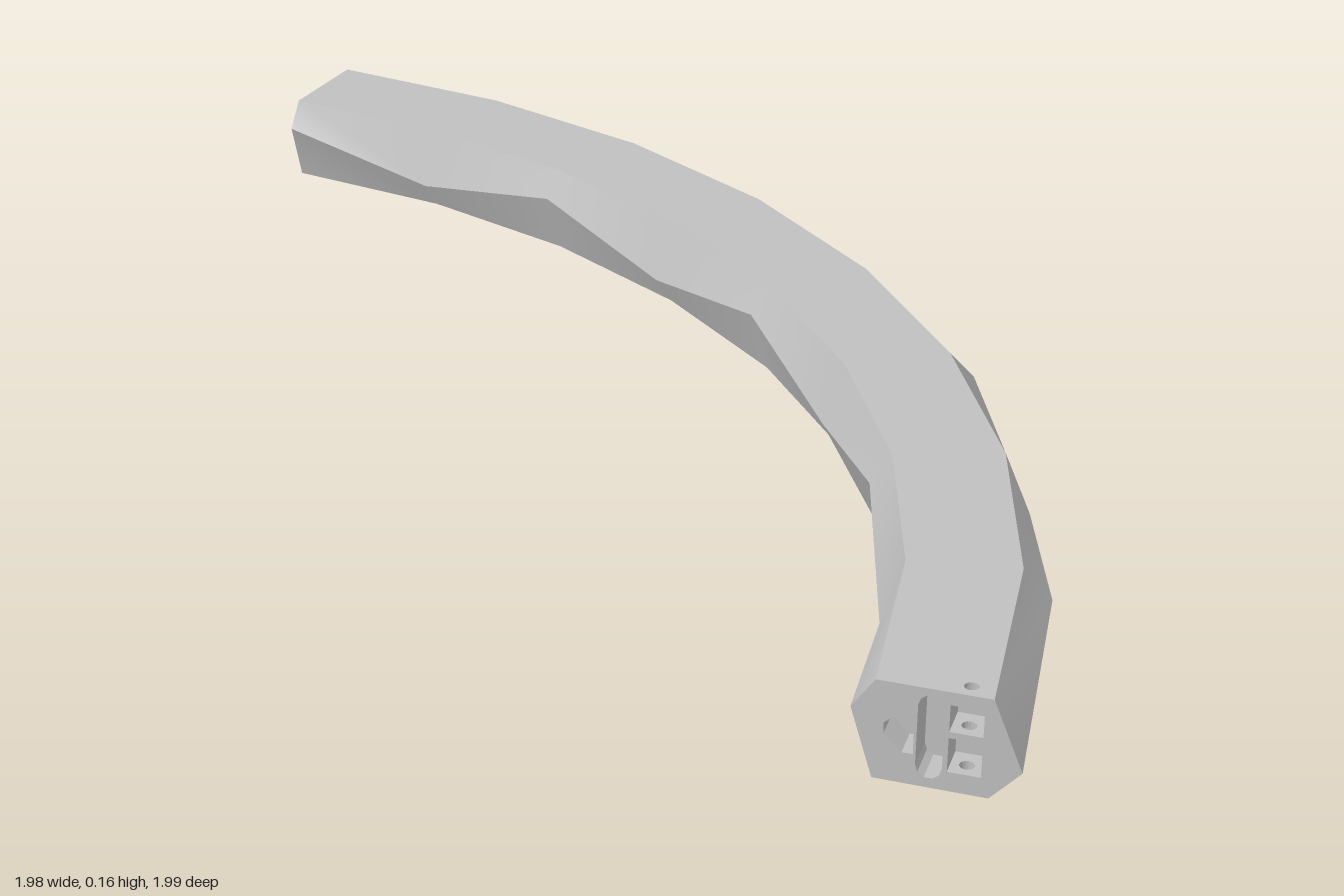
import * as THREE from 'three';

const grey = new THREE.MeshStandardMaterial({ color: 0xc0c0c0, side: THREE.DoubleSide });
grey.name = 'plain grey';

// Arc of eight straight segments around a vertical axis
const CX = -1.083, CZ = 1.065, H = 0.16, SEGS = 8, MID = 1.95;
const angle = k => THREE.MathUtils.degToRad(3.97 + 10.475 * k);
const at = (k, r, y) => [CX + r * Math.sin(angle(k)), y, CZ - r * Math.cos(angle(k))];
const v2 = pts => pts.map(p => new THREE.Vector2(p[0], p[1]));

// Hexagonal section [radius, height]; the side ridges zigzag up and down
function section(k) {
  const inner = 1.787 + 0.038 * Math.max(0, (k - 2.5) / 5.5);
  const even = k % 2 === 0;
  return [
    [inner + 0.034, 0], [2.025, 0], [2.07, even ? 0.05 : 0.11],
    [2.025, H], [inner + 0.034, H], [inner, even ? 0.11 : 0.05],
  ];
}

function mesh(name, geometry) {
  const m = new THREE.Mesh(geometry, grey);
  m.name = name;
  return m;
}

// One long side of the beam, smooth along its length
function strip(j, last) {
  const pos = [], index = [];
  for (let k = 0; k <= last; k++) {
    const s = section(k);
    pos.push(...at(k, ...s[j]), ...at(k, ...s[(j + 1) % 6]));
    if (k < last) {
      const a = 2 * k;
      index.push(a, a + 1, a + 3, a, a + 3, a + 2);
    }
  }
  const g = new THREE.BufferGeometry();
  g.setAttribute('position', new THREE.Float32BufferAttribute(pos, 3));
  g.setIndex(index);
  g.computeVertexNormals();
  return g;
}

function circle(x, y, r) {
  const p = new THREE.Path();
  p.absarc(x, y, r, 0, Math.PI * 2, true);
  return p;
}

// Recess behind an end face: walls plus a floor
function pocket(name, pts, depth, keep = () => true) {
  const g = new THREE.Group();
  g.name = name;
  const pos = [];
  pts.forEach((a, i) => {
    if (!keep(i)) return;
    const b = pts[(i + 1) % pts.length];
    const A = [a[0], a[1], 0], B = [b[0], b[1], 0];
    const C = [b[0], b[1], -depth], D = [a[0], a[1], -depth];
    pos.push(...A, ...B, ...C, ...A, ...C, ...D);
  });
  const walls = new THREE.BufferGeometry();
  walls.setAttribute('position', new THREE.Float32BufferAttribute(pos, 3));
  walls.computeVertexNormals();
  const floor = new THREE.ShapeGeometry(new THREE.Shape(v2(pts)));
  floor.translate(0, 0, -depth);
  g.add(mesh(name + 'Walls', walls), mesh(name + 'Floor', floor));
  return g;
}

// End face frame: local z points out of the beam, y is up
function endCap(name, k, dir, holes) {
  const g = new THREE.Group();
  g.name = name;
  const p = at(k, MID, 0);
  g.position.set(...p);
  g.rotation.y = dir * Math.PI / 2 - angle(k);
  let outline = section(k).map(([r, y]) => [dir * (r - MID), y]);
  if (dir < 0) outline = outline.reverse();
  const shape = new THREE.Shape(v2(outline));
  holes.forEach(h => shape.holes.push(new THREE.Path(v2(h))));
  g.add(mesh(name + 'Face', new THREE.ShapeGeometry(shape)));
  return g;
}

const rect = (x0, x1, y0, y1) => [[x0, y0], [x1, y0], [x1, y1], [x0, y1]];

// Flat plate in plan with a vertical pin hole; depth runs up in y
function drilledPlate(x0, x1, z0, z1, y, height, hx, hz, hr) {
  const s = new THREE.Shape(v2(rect(x0, x1, -z1, -z0)));
  s.holes.push(circle(hx, -hz, hr));
  const g = new THREE.ExtrudeGeometry(s, { depth: height, bevelEnabled: false, curveSegments: 8 });
  g.rotateX(-Math.PI / 2);
  g.translate(0, y, 0);
  return g;
}

export function createModel() {
  const model = new THREE.Group();
  model.name = 'curvedBeam';

  // Beam skin; top and bottom stop one segment early for the drilled panels
  const names = ['bottom', 'lowerOuterSide', 'upperOuterSide', 'top', 'upperInnerSide', 'lowerInnerSide'];
  names.forEach((n, j) => model.add(mesh(n, strip(j, j % 3 === 0 ? SEGS - 1 : SEGS))));

  // Drilled end panels
  const pinX = 0.038, pinZ = -0.025, pinR = 0.011;
  const th = Math.PI / 2 - angle(SEGS), o = at(SEGS, MID, 0);
  const wx = o[0] + pinX * Math.cos(th) + pinZ * Math.sin(th);
  const wz = o[2] - pinX * Math.sin(th) + pinZ * Math.cos(th);
  for (const up of [true, false]) {
    const f = up ? -1 : 1;
    const [i, j] = up ? [3, 4] : [0, 1];
    const a = section(SEGS - 1), b = section(SEGS);
    const pts = [at(7, ...a[i]), at(7, ...a[j]), at(8, ...b[j]), at(8, ...b[i])];
    const shape = new THREE.Shape(v2(pts.map(p => [p[0], f * p[2]])));
    shape.holes.push(circle(wx, f * wz, pinR));
    const g = new THREE.ShapeGeometry(shape, 8);
    g.rotateX(f * Math.PI / 2);
    g.translate(0, up ? H : 0, 0);
    model.add(mesh(up ? 'topDrilledPanel' : 'bottomDrilledPanel', g));
  }

  // Front end: cable slot, tab socket and pin pocket
  const slot = [];
  for (let i = 0; i < 12; i++) {
    const a = (i < 6 ? i : i - 1) / 5 * Math.PI - (i < 6 ? 0 : Math.PI / 5);
    const t = i < 6 ? i / 5 * Math.PI : Math.PI + (i - 6) / 5 * Math.PI;
    slot.push([-0.011 + 0.019 * Math.cos(t), (i < 6 ? 0.131 : 0.034) + 0.019 * Math.sin(t)]);
  }
  const socket = [[-0.077, 0.075], [-0.05, 0.05], [-0.034, 0.05], [-0.034, 0.118], [-0.05, 0.118], [-0.077, 0.093]];
  const pinBox = rect(0.015, 0.063, 0.03, 0.14);
  const front = endCap('frontEnd', SEGS, 1, [slot, socket, pinBox]);
  front.add(pocket('cableSlot', slot, 0.06));
  front.add(pocket('tabSocket', socket, 0.05));
  front.add(pocket('pinPocket', pinBox, 0.055, i => i % 2 === 1));
  [[0.139, 0.02], [0.086, 0.01], [0.001, 0.03]].forEach(([y, h]) =>
    front.add(mesh('pinShelf', drilledPlate(0.015, 0.063, -0.055, -0.0005, y, h, pinX, pinZ, pinR))));
  model.add(front);

  // Back end: recess with a tapered, drilled tab standing out of it
  const recess = rect(-0.05, 0.05, 0.035, 0.13);
  const back = endCap('backEnd', 0, -1, [recess]);
  back.add(pocket('backRecess', recess, 0.04));
  const tab = drilledPlate(-0.03, 0.006, 0, 0.05, -1, 2, -0.012, 0.025, 0.009);
  const p = tab.attributes.position;
  for (let i = 0; i < p.count; i++) {
    const half = 0.034 - 0.02 * p.getZ(i) / 0.05;
    p.setY(i, 0.084 + Math.sign(p.getY(i)) * half);
  }
  tab.computeVertexNormals();
  back.add(mesh('lockingTab', tab));
  const root = new THREE.BoxGeometry(0.036, 0.068, 0.04);
  root.translate(-0.012, 0.084, -0.02);
  back.add(mesh('tabRoot', root));
  model.add(back);

  return model;
}
